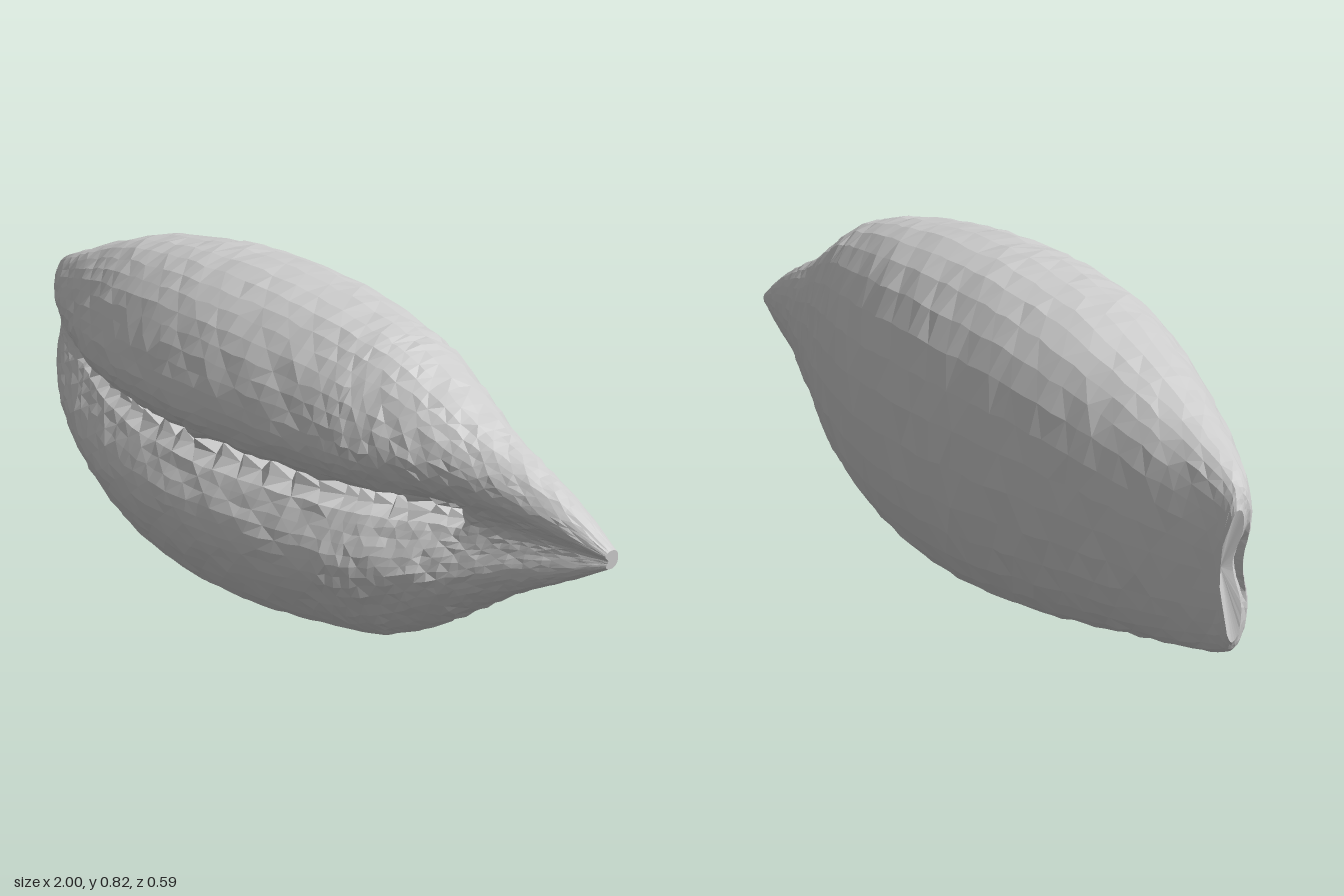
import * as THREE from 'three';

// Stations along the shell: x, top y, bottom y, front z, back z
const STATIONS = [
  [-1.0, 0.55, 0.27, -0.06, -0.11],
  [-0.96, 0.6, 0.225, -0.01, -0.12],
  [-0.8, 0.66, 0.165, 0.09, -0.17],
  [-0.6, 0.73, 0.105, 0.18, -0.22],
  [-0.4, 0.785, 0.05, 0.25, -0.265],
  [-0.2, 0.81, 0.01, 0.285, -0.29],
  [0.0, 0.815, 0.0, 0.293, -0.3],
  [0.2, 0.8, 0.015, 0.275, -0.285],
  [0.4, 0.765, 0.05, 0.235, -0.24],
  [0.5, 0.735, 0.075, 0.2, -0.21],
  [0.6, 0.68, 0.13, 0.15, -0.175],
  [0.7, 0.605, 0.2, 0.095, -0.15],
  [0.8, 0.555, 0.27, 0.045, -0.125],
  [0.9, 0.5, 0.325, 0.0, -0.11],
  [1.0, 0.425, 0.385, -0.05, -0.09],
];
const RINGS = 76, SIDES = 48;

function seeded(seed) {
  return () => {
    seed = (seed * 16807) % 2147483647;
    return seed / 2147483647 - 0.5;
  };
}

const power = (v, p) => Math.sign(v) * Math.pow(Math.abs(v), p);

function shellGeometry() {
  const rand = seeded(4711);
  const curve = (a, b) => new THREE.CatmullRomCurve3(
    STATIONS.map((s) => new THREE.Vector3(s[0], s[a], s[b])), false, 'catmullrom', 0.5);
  const heights = curve(1, 2), depths = curve(3, 4);
  const pos = [], index = [];

  for (let i = 0; i <= RINGS; i++) {
    const h = heights.getPoint(i / RINGS), d = depths.getPoint(i / RINGS);
    const x = h.x, cy = (h.y + h.z) / 2, hy = (h.y - h.z) / 2;
    const cz = (d.y + d.z) / 2, hz = (d.y - d.z) / 2;
    const slitY = THREE.MathUtils.lerp(cy, 0.415 - 0.012 * x, 0.8);
    const lips = Math.min(0.085, hz * 0.6);
    const width = Math.min(0.085, hy * 0.4);
    const toothed = x > -0.72 && x < 0.7;
    const tooth = toothed ? (i % 2 ? 0.015 : 0.075) + rand() * 0.03 : 0;

    for (let j = 0; j < SIDES; j++) {
      // Angles crowd together around the slit at the front
      const u = (j / SIDES) * Math.PI * 2;
      const a = u - 0.6 * Math.sin(u);
      let y = cy + hy * power(Math.sin(a), 0.95);
      let z = cz + hz * power(Math.cos(a), 0.88) * (Math.cos(a) > 0 ? 1.06 : 1);
      if (Math.cos(a) > 0) {
        const dy = y - slitY;
        // Lips roll into the slit, with a narrow toothed cut at its bottom
        const w = dy > 0 ? width * 0.95 : width * 1.1;
        z -= lips * Math.exp(-((dy / w) ** 2));
        const cut = Math.exp(-(((dy - 0.015) / 0.022) ** 2));
        z -= tooth * cut;
        if (toothed) y += cut * (i % 2 ? 0.008 : -0.008);
      }
      // Slight unevenness of the surface, fading at the ends
      const rough = 0.009 * Math.min(1, hz / 0.15);
      const end = i === 0 || i === RINGS;
      // Notch where the slit meets the blunt end
      const notch = i < 3 ? 0.025 * Math.exp(-(((y - 0.43) / 0.07) ** 2)) : 0;
      pos.push(x + notch + (end ? 0 : rand() * rough),
        Math.max(0, y + rand() * rough * 0.7), z + rand() * rough * 0.7);
    }
  }

  for (let i = 0; i < RINGS; i++) {
    for (let j = 0; j < SIDES; j++) {
      const k = (j + 1) % SIDES;
      const a = i * SIDES + j, b = a + SIDES;
      const c = i * SIDES + k, e = c + SIDES;
      if ((i + j) % 2) index.push(a, b, c, b, e, c);
      else index.push(a, b, e, a, e, c);
    }
  }

  // End caps: dished at the blunt end, closed at the pointed tip
  const first = pos.length / 3;
  pos.push(-0.965, 0.42, -0.095, 1.0, 0.405, -0.07);
  const last = RINGS * SIDES;
  for (let j = 0; j < SIDES; j++) {
    const k = (j + 1) % SIDES;
    index.push(first, j, k, first + 1, last + k, last + j);
  }

  const geometry = new THREE.BufferGeometry();
  geometry.setAttribute('position', new THREE.Float32BufferAttribute(pos, 3));
  geometry.setIndex(index);
  geometry.computeVertexNormals();
  return geometry;
}

export function createModel() {
  const group = new THREE.Group();
  group.name = 'seashell';
  const material = new THREE.MeshStandardMaterial({
    color: 0xcccccc, flatShading: true, side: THREE.DoubleSide,
  });
  const shell = new THREE.Mesh(shellGeometry(), material);
  shell.name = 'shellBody';
  group.add(shell);
  return group;
}
